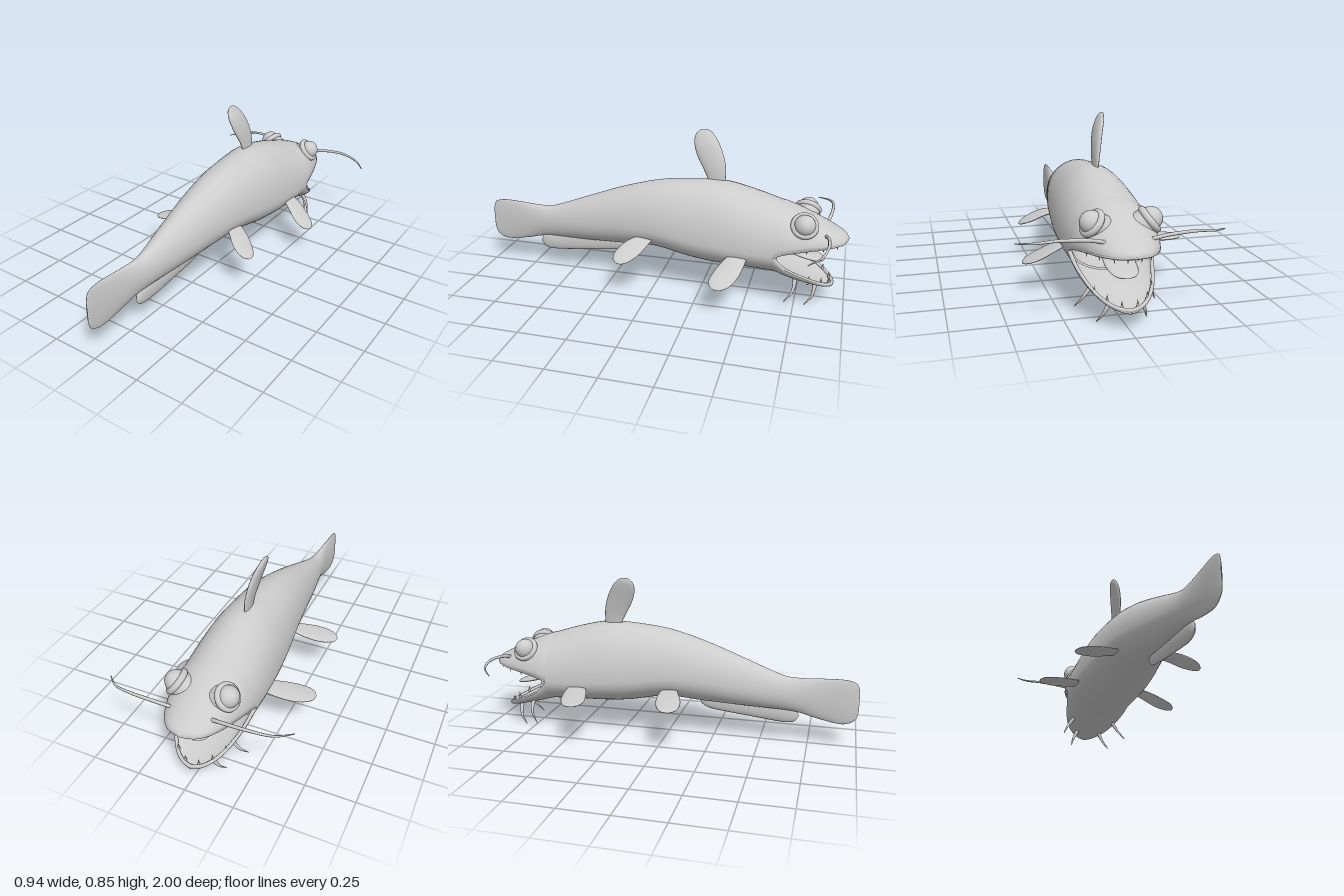
import * as THREE from 'three';

const V = (x, y, z) => new THREE.Vector3(x, y, z);

// Skin a list of closed rings (arrays of Vector3 of equal length)
function loft(rings) {
  const n = rings[0].length, pos = [], idx = [];
  rings.forEach(r => r.forEach(p => pos.push(p.x, p.y, p.z)));
  for (let i = 0; i < rings.length - 1; i++) {
    for (let j = 0; j < n; j++) {
      const a = i * n + j, b = i * n + (j + 1) % n;
      idx.push(a, b, a + n, b, b + n, a + n);
    }
  }
  const g = new THREE.BufferGeometry();
  g.setAttribute('position', new THREE.Float32BufferAttribute(pos, 3));
  g.setIndex(idx);
  g.computeVertexNormals();
  return g;
}

// Smoothly resample a table of section rows, column by column
function resample(rows, steps) {
  const cols = rows[0].map((_, c) => new THREE.SplineCurve(rows.map((r, i) => new THREE.Vector2(i, r[c]))));
  return Array.from({ length: steps + 1 }, (_, i) => cols.map(s => s.getPoint(i / steps).y));
}

// Elliptical section swept along a curve; halfW lies along chord, halfT across it
function sweep(points, chord, halfW, halfT, steps = 20, sides = 16) {
  const curve = new THREE.CatmullRomCurve3(points), rings = [];
  for (let i = 0; i <= steps; i++) {
    const t = i / steps, p = curve.getPoint(t), d = curve.getTangent(t);
    const c = chord.clone().addScaledVector(d, -chord.dot(d)).normalize();
    const n = d.clone().cross(c);
    rings.push(Array.from({ length: sides }, (_, j) => {
      const a = j / sides * Math.PI * 2;
      return p.clone().addScaledVector(c, Math.cos(a) * halfW(t)).addScaledVector(n, Math.sin(a) * halfT(t));
    }));
  }
  return loft(rings);
}

// Paddle outline: narrow root, broad outer half, round tip
const paddle = w => t => w * (0.55 + 0.45 * Math.sin(Math.min(t / 0.7, 1) * Math.PI / 2)) *
  Math.sqrt(Math.max(1 - Math.pow(t, 6), 0.0004));

export function createModel() {
  const group = new THREE.Group();
  const skin = new THREE.MeshStandardMaterial({ color: 0xcccccc, side: THREE.DoubleSide });
  const add = (name, geo) => {
    const m = new THREE.Mesh(geo, skin);
    m.name = name;
    group.add(m);
    return m;
  };

  // Body and tail fin: z, centre x, half width, top, middle, bottom
  const body = resample([
    [1.0, -0.02, 0.002, 0.3, 0.255, 0.21],
    [0.985, -0.02, 0.007, 0.352, 0.255, 0.158],
    [0.92, -0.02, 0.014, 0.37, 0.252, 0.13],
    [0.8, -0.016, 0.024, 0.366, 0.258, 0.148],
    [0.69, -0.013, 0.038, 0.36, 0.268, 0.175],
    [0.6, -0.011, 0.054, 0.372, 0.275, 0.183],
    [0.4, -0.008, 0.094, 0.447, 0.3, 0.19],
    [0.2, -0.004, 0.13, 0.52, 0.33, 0.2],
    [0.0, 0, 0.163, 0.575, 0.34, 0.213],
    [-0.2, 0, 0.188, 0.598, 0.32, 0.178],
    [-0.35, 0, 0.2, 0.6, 0.305, 0.165],
    [-0.5, 0, 0.205, 0.568, 0.295, 0.163],
    [-0.64, 0, 0.204, 0.525, 0.29, 0.155],
  ], 72);
  add('body', loft(body.map(([z, cx, w, top, mid, bot]) => Array.from({ length: 48 }, (_, j) => {
    const a = j / 48 * Math.PI * 2, s = Math.sin(a);
    return V(cx - w * Math.cos(a), mid + s * (s > 0 ? top - mid : mid - bot), z);
  }))));

  // Throat: a bowl running back from the mouth
  add('throat', loft([-0.64, -0.58, -0.5, -0.44, -0.42].map((z, i) => Array.from({ length: 32 }, (_, j) => {
    const a = j / 32 * Math.PI * 2, s = Math.sin(a), k = [0.94, 0.85, 0.65, 0.35, 0.01][i];
    return V(0.195 * k * Math.cos(a), 0.29 + s * k * (s > 0 ? 0.2 : 0.11), z);
  }))));

  // Jaws are half sections with a hollow mouth side: z, half width, rim, outer, inner
  const jaw = (name, rows, start) => {
    const r = resample(rows, 36);
    add(name, loft(r.map(([z, w, rim, outer, inner]) => {
      const ring = [];
      for (let j = 0; j <= 24; j++) {
        const a = start + j / 24 * Math.PI;
        ring.push(V(-w * Math.cos(a), rim + Math.abs(Math.sin(a)) * (outer - rim), z));
      }
      for (let j = 24; j >= 0; j--) {
        const a = start + j / 24 * Math.PI;
        ring.push(V(-w * 0.93 * Math.cos(a), rim + Math.abs(Math.sin(a)) * (inner - rim), z));
      }
      return ring;
    })));
    // Lip running around the rim
    const side = r.filter((_, i) => i % 3 === 0).map(([z, w, rim]) => V(w * 0.96, rim, z + 0.008));
    const path = [...side, ...side.slice(0, -1).reverse().map(p => V(-p.x, p.y, p.z))];
    add(name + 'Lip', new THREE.TubeGeometry(new THREE.CatmullRomCurve3(path), 80, 0.009, 8));
  };
  jaw('upperHead', [
    [-0.64, 0.204, 0.29, 0.525, 0.49],
    [-0.7, 0.198, 0.312, 0.508, 0.465],
    [-0.8, 0.174, 0.33, 0.468, 0.42],
    [-0.88, 0.145, 0.338, 0.43, 0.395],
    [-0.94, 0.11, 0.344, 0.4, 0.375],
    [-0.98, 0.064, 0.347, 0.376, 0.36],
    [-0.998, 0.002, 0.35, 0.357, 0.353],
  ], 0);
  jaw('lowerJaw', [
    [-0.64, 0.204, 0.29, 0.155, 0.18],
    [-0.7, 0.184, 0.225, 0.14, 0.165],
    [-0.78, 0.16, 0.18, 0.12, 0.14],
    [-0.85, 0.128, 0.145, 0.1, 0.115],
    [-0.9, 0.09, 0.12, 0.088, 0.098],
    [-0.93, 0.048, 0.105, 0.082, 0.09],
    [-0.942, 0.002, 0.098, 0.085, 0.09],
  ], Math.PI);

  add('tongue', sweep([V(0, 0.29, -0.56), V(0, 0.27, -0.7), V(0, 0.245, -0.8), V(0, 0.222, -0.89)],
    V(1, 0, 0), paddle(0.075), paddle(0.014)));

  // Paired parts, s = +1 for the left side and -1 for the right
  for (const s of [1, -1]) {
    const side = s > 0 ? 'left' : 'right';

    // Bulging eye in a raised socket
    const out = V(0.76 * s, 0.62, -0.15).normalize();
    const centre = V(0.134 * s, 0.45, -0.78);
    add(side + 'Eye', new THREE.SphereGeometry(0.053, 28, 20)).position.copy(centre);
    const socket = add(side + 'EyeSocket', new THREE.TorusGeometry(0.054, 0.016, 12, 36));
    socket.position.copy(centre).addScaledVector(out, -0.006);
    socket.quaternion.setFromUnitVectors(V(0, 0, 1), out);
    const base = add(side + 'EyeBase', new THREE.CylinderGeometry(0.06, 0.068, 0.05, 28));
    base.position.copy(centre).addScaledVector(out, -0.035);
    base.quaternion.setFromUnitVectors(V(0, 1, 0), out);

    // Whisker and chin barbels
    const taper = r => t => r * (1 - 0.75 * t * t);
    add(side + 'Whisker', sweep([V(0.1 * s, 0.39, -0.885), V(0.17 * s, 0.408, -0.9), V(0.3 * s, 0.418, -0.905),
      V(0.4 * s, 0.406, -0.88), V(0.47 * s, 0.392, -0.82)], V(0, 1, 0), taper(0.009), taper(0.009), 24, 8));
    const spike = t => 0.012 * (1 - 0.85 * t);
    add(side + 'RearBarbel', sweep([V(0.12 * s, 0.16, -0.752), V(0.16 * s, 0.1, -0.745), V(0.19 * s, 0.045, -0.705)],
      V(0, 0, 1), spike, spike, 12, 10));
    add(side + 'FrontBarbel', sweep([V(0.07 * s, 0.105, -0.85), V(0.095 * s, 0.055, -0.842), V(0.116 * s, 0.004, -0.803)],
      V(0, 0, 1), spike, spike, 12, 10));

    // Small teeth along both rims
    for (const [x, y, z, up] of [[0.16, 0.322, -0.8, -1], [0.125, 0.327, -0.88, -1], [0.08, 0.332, -0.945, -1],
      [0.03, 0.335, -0.97, -1], [0.13, 0.163, -0.82, 1], [0.09, 0.142, -0.88, 1], [0.035, 0.122, -0.915, 1]]) {
      const tooth = add(side + 'Tooth', new THREE.ConeGeometry(0.008, 0.036, 8));
      tooth.position.set(x * s, y, z);
      if (up < 0) tooth.rotation.x = Math.PI;
    }
  }

  // Side fins, each pair held at a slightly different angle
  const fin = (name, pts, w, chord = V(0, 0, 1), thick = 0.012) =>
    add(name, sweep(pts, chord, paddle(w), paddle(thick), 28, 20));
  fin('leftPectoralFin', [V(0.13, 0.29, -0.48), V(0.22, 0.245, -0.45), V(0.3, 0.195, -0.41), V(0.365, 0.16, -0.365)], 0.064);
  fin('rightPectoralFin', [V(-0.14, 0.275, -0.475), V(-0.23, 0.265, -0.455), V(-0.33, 0.252, -0.43), V(-0.42, 0.245, -0.405)], 0.066);
  fin('leftPelvicFin', [V(0.1, 0.3, 0.02), V(0.17, 0.275, 0.065), V(0.23, 0.242, 0.11), V(0.295, 0.205, 0.155)], 0.062);
  fin('rightPelvicFin', [V(-0.11, 0.28, 0.03), V(-0.19, 0.265, 0.04), V(-0.27, 0.25, 0.06), V(-0.36, 0.235, 0.08)], 0.066);

  // Dorsal fin leaning back and to one side
  fin('dorsalFin', [V(-0.012, 0.56, -0.315), V(-0.02, 0.66, -0.295), V(-0.04, 0.76, -0.25), V(-0.07, 0.848, -0.205)],
    0.068, V(0, 0, 1), 0.019);

  // Long low fin under the tail
  const low = t => 0.052 * Math.sqrt(Math.max(1 - Math.pow(2 * t - 1, 8), 0.001));
  add('analFin', sweep([V(0.002, 0.205, 0.17), V(0.004, 0.185, 0.35), V(0.004, 0.167, 0.52), V(0, 0.148, 0.7)],
    V(0, 1, 0), low, t => low(t) * 0.32, 36, 16));

  return group;
}
